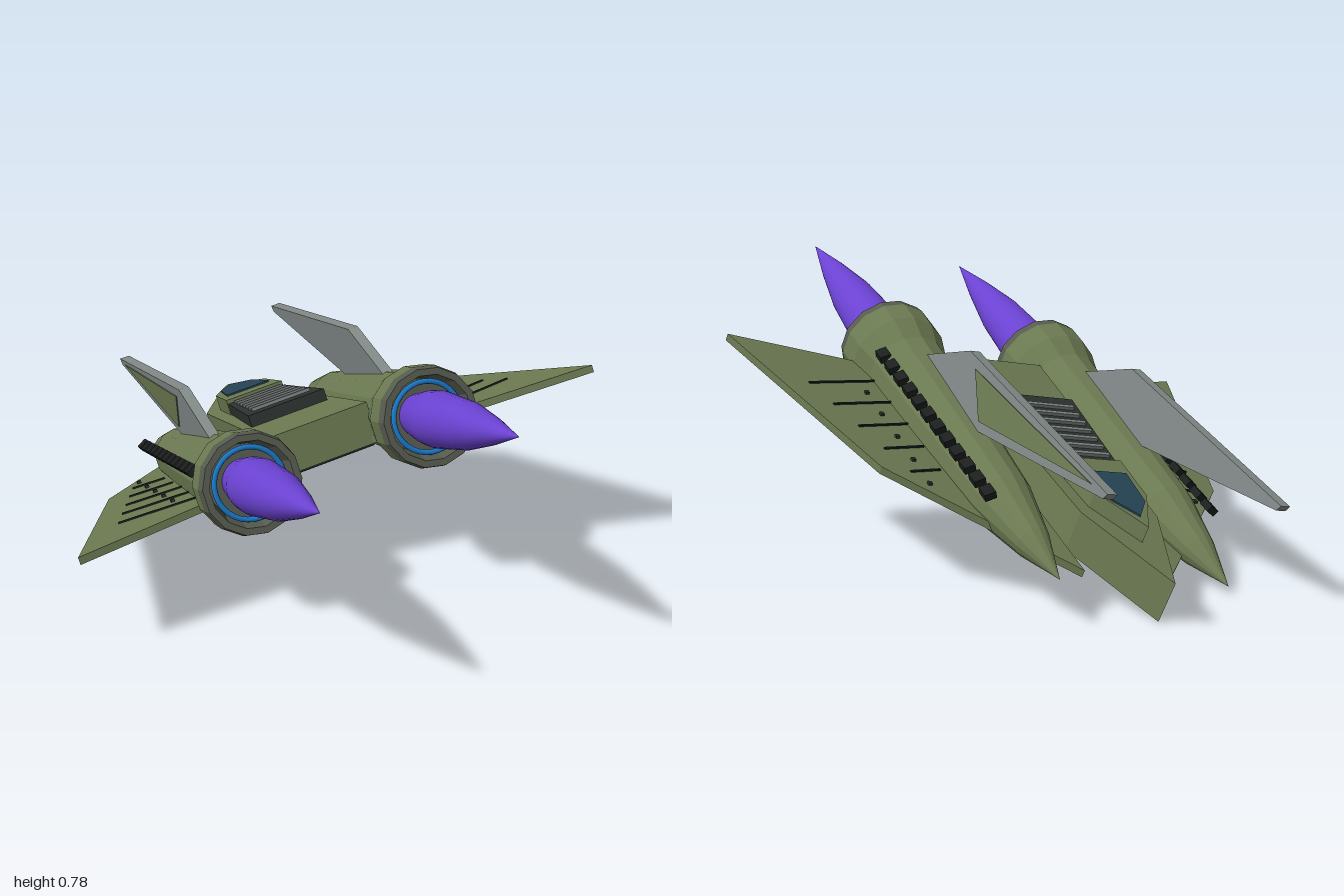
import * as THREE from 'three';

const mat = (name, color) => Object.assign(new THREE.MeshStandardMaterial({ color }), { name });

export function createModel() {
  const olive = mat('olive', 0x6c7a52);
  const rimGrey = mat('rimGrey', 0x565b4e);
  const grey = mat('finGrey', 0x808886);
  const dark = mat('darkGrey', 0x2e3330);
  const black = mat('black', 0x1c1f1e);
  const glass = mat('glass', 0x264556);
  const blue = mat('blue', 0x1a78c8);
  const purple = mat('purple', 0x6b42d2);

  const root = new THREE.Group();
  const craft = new THREE.Group();
  craft.name = 'craft';
  root.add(craft);

  const add = (name, geo, material, x = 0, y = 0, z = 0) => {
    const m = new THREE.Mesh(geo, material);
    m.name = name;
    m.position.set(x, y, z);
    craft.add(m);
    return m;
  };
  const box = (name, w, h, d, material, x, y, z) =>
    add(name, new THREE.BoxGeometry(w, h, d), material, x, y, z);
  const shapeOf = pts => new THREE.Shape(pts.map(p => new THREE.Vector2(p[0], p[1])));
  const extrude = (pts, depth) =>
    new THREE.ExtrudeGeometry(shapeOf(pts), { depth, bevelEnabled: false });
  // horizontal slab from an (x, z) outline, between heights y0 and y1
  const slab = (name, pts, y0, y1, material) =>
    add(name, extrude(pts, y1 - y0).rotateX(Math.PI / 2), material, 0, y1, 0);
  // upright plate from a (z, y) outline, centred on x
  const plate = (name, pts, x, t, material) =>
    add(name, extrude(pts, t).rotateY(-Math.PI / 2), material, x + t / 2, 0, 0);
  // mirror a half outline across x = 0
  const both = half => [...half, ...half.filter(p => p[0] > 0).reverse().map(([x, z]) => [-x, z])];
  // round body along z from (radius, z) points
  const lathe = (pts, sides, flat) => {
    let g = new THREE.LatheGeometry(pts.map(p => new THREE.Vector2(p[0], p[1])), sides);
    if (flat) {
      g = g.toNonIndexed();
      g.computeVertexNormals();
    }
    return g.rotateX(Math.PI / 2);
  };

  // Central hull, canopy and vent
  slab('hull', both([[0, -0.976], [0.13, -0.65], [0.148, -0.21], [0.165, 0.2]]), -0.05, 0.075, olive);
  slab('canopy', both([[0, -0.785], [0.088, -0.62], [0.098, -0.44]]), 0.07, 0.125, olive);
  slab('cockpitWindow', both([[0, -0.735], [0.058, -0.66], [0.074, -0.515]]), 0.124, 0.13, glass);
  slab('ventPanel', both([[0.095, -0.44], [0.127, -0.075]]), 0.07, 0.112, dark);
  for (let i = 0; i < 7; i++)
    box('ventSlat', 0.165 + i * 0.005, 0.012, 0.014, grey, 0, 0.116, -0.4 + i * 0.044);
  box('bellyBar', 0.4, 0.045, 0.11, black, 0, -0.068, -0.03);

  for (const s of [1, -1]) {
    const X = 0.281 * s;

    // Wing
    slab('wing', [[0.148, -0.787], [0.579, -0.323], [0.81, 0.376], [0.42, 0.287], [0.148, 0.2]]
      .map(([x, z]) => [x * s, z]), -0.046, -0.024, olive);

    // Engine pod, nozzle rim, glow ring and flame
    add('enginePod', lathe([[0, -0.87], [0.05, -0.7], [0.088, -0.5], [0.117, -0.02],
      [0.128, 0.2], [0.15, 0.28], [0.152, 0.36]], 14, true), olive, X);
    add('nozzleRim', lathe([[0.152, 0.36], [0.146, 0.392], [0.126, 0.392], [0.116, 0.34]], 14, true), rimGrey, X);
    add('nozzleInside', lathe([[0.116, 0.34], [0.11, 0.3], [0, 0.3]], 14, true), rimGrey, X);
    add('glowRing', new THREE.TorusGeometry(0.104, 0.008, 8, 32), blue, X, 0, 0.36);
    add('flame', lathe([[0.066, 0.3], [0.08, 0.4], [0.083, 0.47], [0.068, 0.68],
      [0.038, 0.86], [0, 1.04]], 28, false), purple, X);

    // Forward-swept fin with a panel on its outer side
    plate('fin', [[0.15, 0.09], [-0.108, 0.255], [-0.935, 0.313], [-0.925, 0.292], [-0.24, 0.08]],
      0.284 * s, 0.032, grey);
    plate('finPanel', [[-0.17, 0.23], [-0.86, 0.295], [-0.28, 0.122]], 0.301 * s, 0.005, olive);

    // Row of vents along the pod
    for (let i = 0; i < 12; i++) {
      const m = box('podVent', 0.034, 0.022, 0.044, black, (0.378 + i * 0.0015) * s, 0.06, -0.555 + i * 0.067);
      m.rotation.z = -0.5 * s;
    }

    // Panel lines and rivets on the wing
    for (let i = 0; i < 5; i++) {
      const x0 = 0.39, x1 = 0.64 - i * 0.036, z = 0.17 - i * 0.122;
      const line = box('wingLine', x1 - x0, 0.006, 0.006, black, s * (x0 + x1) / 2, -0.022, z - (x1 - x0) * 0.1);
      line.rotation.y = 0.2 * s;
      box('wingRivet', 0.012, 0.01, 0.012, dark, s * 0.46, -0.021, z - 0.08);
    }
  }

  // Banked, nose-down flight attitude
  const zAxis = new THREE.Vector3(-0.026, 0.335, 0.942).normalize();
  const yAxis = new THREE.Vector3().crossVectors(zAxis, new THREE.Vector3(0.978, 0.2, -0.043)).normalize();
  const xAxis = new THREE.Vector3().crossVectors(yAxis, zAxis);
  craft.quaternion.setFromRotationMatrix(new THREE.Matrix4().makeBasis(xAxis, yAxis, zAxis));
  craft.position.set(0, 0.377, 0);
  return root;
}
